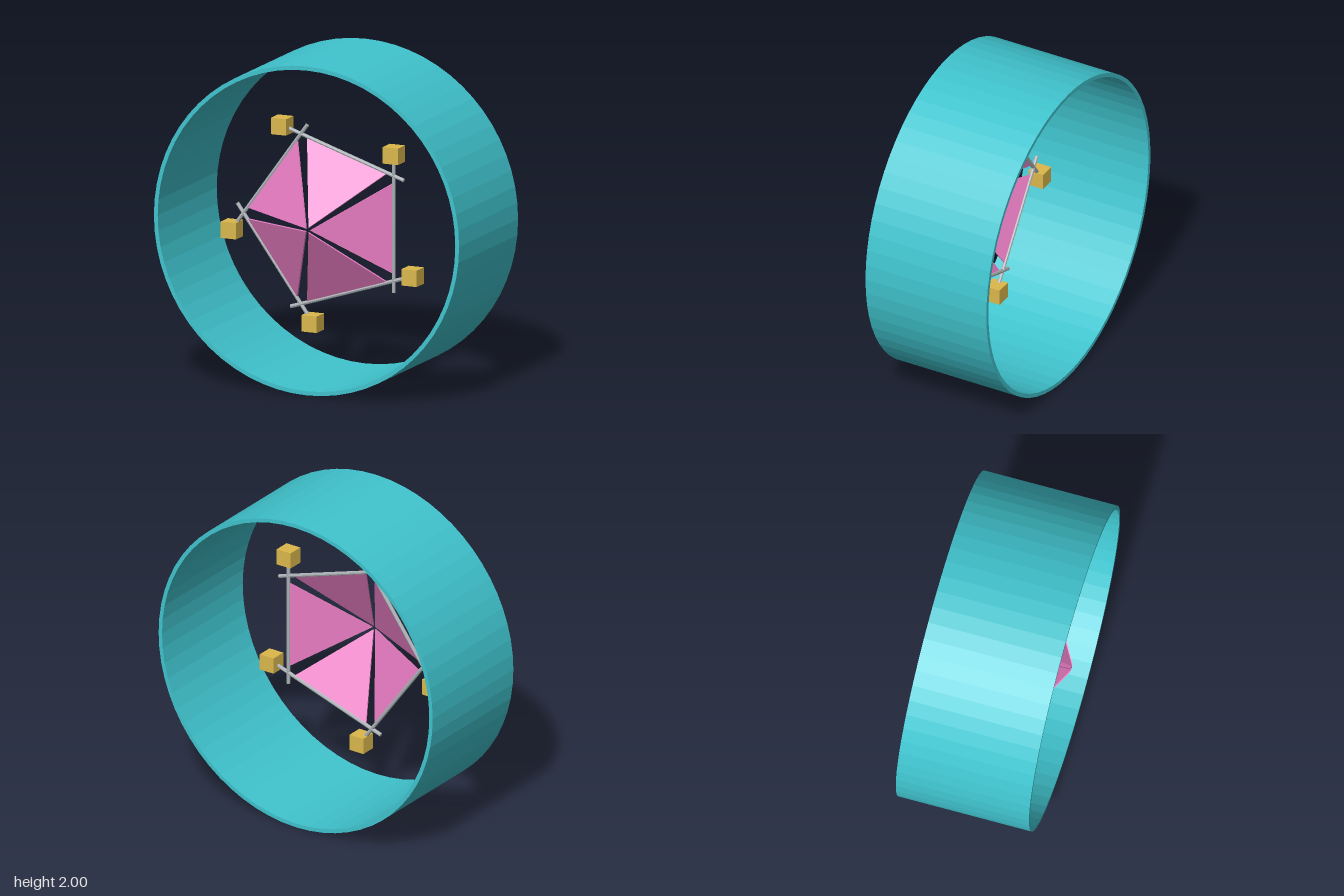
import * as THREE from 'three';

const paint = (color) => new THREE.MeshStandardMaterial({ color, flatShading: true });

export function createModel() {
  const model = new THREE.Group();
  model.name = 'ringWithPanels';
  const teal = paint(0x40c4ce), pink = paint(0xe87cc2), gold = paint(0xdcb84c), steel = paint(0xaab0b4);

  function add(parent, name, geometry, material, x, y, z) {
    const mesh = new THREE.Mesh(geometry, material);
    mesh.name = name;
    mesh.position.set(x, y, z);
    parent.add(mesh);
    return mesh;
  }

  // Outer ring: a thin rectangular section turned around the z axis
  const outer = 1, inner = 0.975, half = 0.41;
  const section = [[outer, -half], [outer, half], [inner, half], [inner, -half], [outer, -half]]
    .map(([r, h]) => new THREE.Vector2(r, h));
  const ring = new THREE.LatheGeometry(section, 64).rotateX(Math.PI / 2);
  add(model, 'outerRing', ring, teal, 0, 1, 0);

  // Triangular panel, from its tip near the centre to its wide outer edge
  const rimZ = 0.13, tipZ = 0.39, tipR = 0.014, rimR = 0.437;
  const slant = Math.hypot(rimR - tipR, tipZ - rimZ);
  const thickness = 0.01;
  const triangle = new THREE.Shape([
    new THREE.Vector2(0, 0),
    new THREE.Vector2(slant, -0.276),
    new THREE.Vector2(slant, 0.276),
  ]);
  const panelGeometry = new THREE.ExtrudeGeometry(triangle, { depth: thickness, bevelEnabled: false })
    .translate(0, 0, -thickness / 2)
    .rotateY(Math.atan2(tipZ - rimZ, rimR - tipR));
  const rodGeometry = new THREE.CylinderGeometry(0.012, 0.012, 0.8, 8);
  const blockGeometry = new THREE.BoxGeometry(0.1, 0.1, 0.1);

  // Five panels, each with an edge rod and an upright block at the rod's end
  for (let i = 0; i < 5; i++) {
    const angle = (i * Math.PI * 2) / 5;
    const sector = new THREE.Group();
    sector.name = `sector${i + 1}`;
    sector.position.y = 1;
    sector.rotation.z = angle;
    add(sector, 'panel', panelGeometry, pink, tipR, 0, tipZ);
    add(sector, 'edgeRod', rodGeometry, steel, 0.44, 0.01, rimZ);
    add(sector, 'endBlock', blockGeometry, gold, 0.44, 0.45, rimZ).rotation.z = -angle;
    model.add(sector);
  }
  return model;
}
